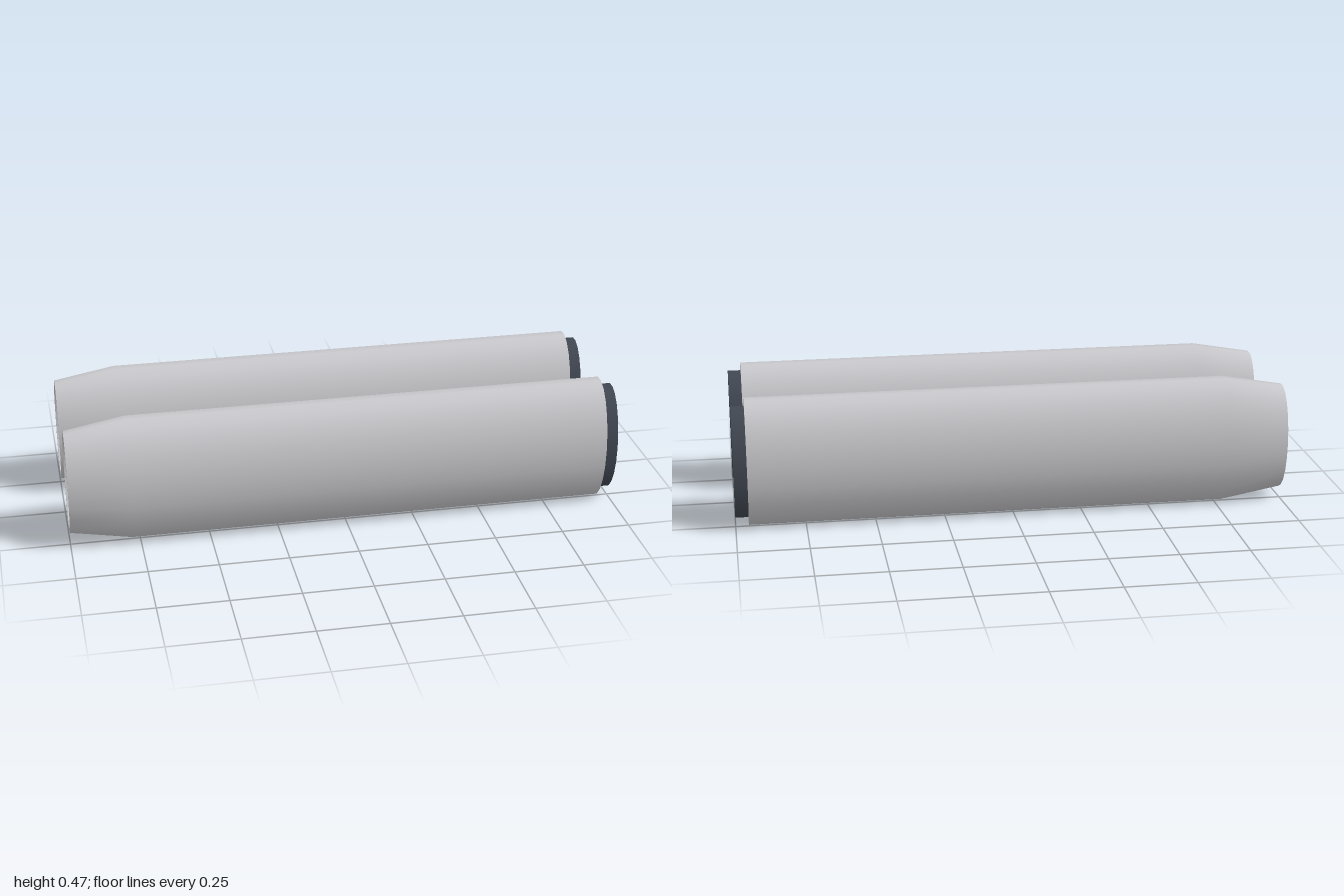
import * as THREE from 'three';

const SIDES = 22;      // facets around each pod
const FLATTEN = 0.55;  // depth of the oval relative to its height
const CENTRE_Y = 0.2325;
const CENTRE_Z = 0.221;

// Revolves [x, radius] points around the x axis and squashes the result to an oval
function ovalLathe(points) {
  const profile = points.map(([x, r]) => new THREE.Vector2(r, x));
  const geometry = new THREE.LatheGeometry(profile, SIDES);
  geometry.rotateZ(-Math.PI / 2);
  geometry.scale(1, 1, FLATTEN);
  return geometry;
}

export function createModel() {
  const metal = new THREE.MeshStandardMaterial({ color: 0xc8c8cc });
  metal.name = 'lightMetal';
  const dark = new THREE.MeshStandardMaterial({ color: 0x414752 });
  dark.name = 'darkSlate';

  // Each surface is separate so its edges stay sharp
  const parts = [
    ['shell', metal, [[-1, 0.196], [-0.78, 0.235], [0.953, 0.235]]],
    ['endRing', metal, [[0.953, 0.235], [0.953, 0.17]]],
    ['bore', metal, [[0.92, 0.175], [-1, 0.175]]],
    ['rim', metal, [[-1, 0.175], [-1, 0.196]]],
    ['capSide', dark, [[0.92, 0.2056], [1, 0.2056]]],
    ['capFace', dark, [[1, 0.2056], [1, 0]]],
    ['boreFloor', dark, [[0.92, 0], [0.92, 0.2056]]],
  ].map(([name, material, points]) => ({ name, material, geometry: ovalLathe(points) }));

  const model = new THREE.Group();
  model.name = 'twinPods';

  // Two matching pods, side by side in depth
  for (const side of [1, -1]) {
    const pod = new THREE.Group();
    pod.name = side > 0 ? 'frontPod' : 'backPod';
    pod.position.set(0, CENTRE_Y, side * CENTRE_Z);
    for (const { name, material, geometry } of parts) {
      const mesh = new THREE.Mesh(geometry, material);
      mesh.name = name;
      pod.add(mesh);
    }
    model.add(pod);
  }
  return model;
}
